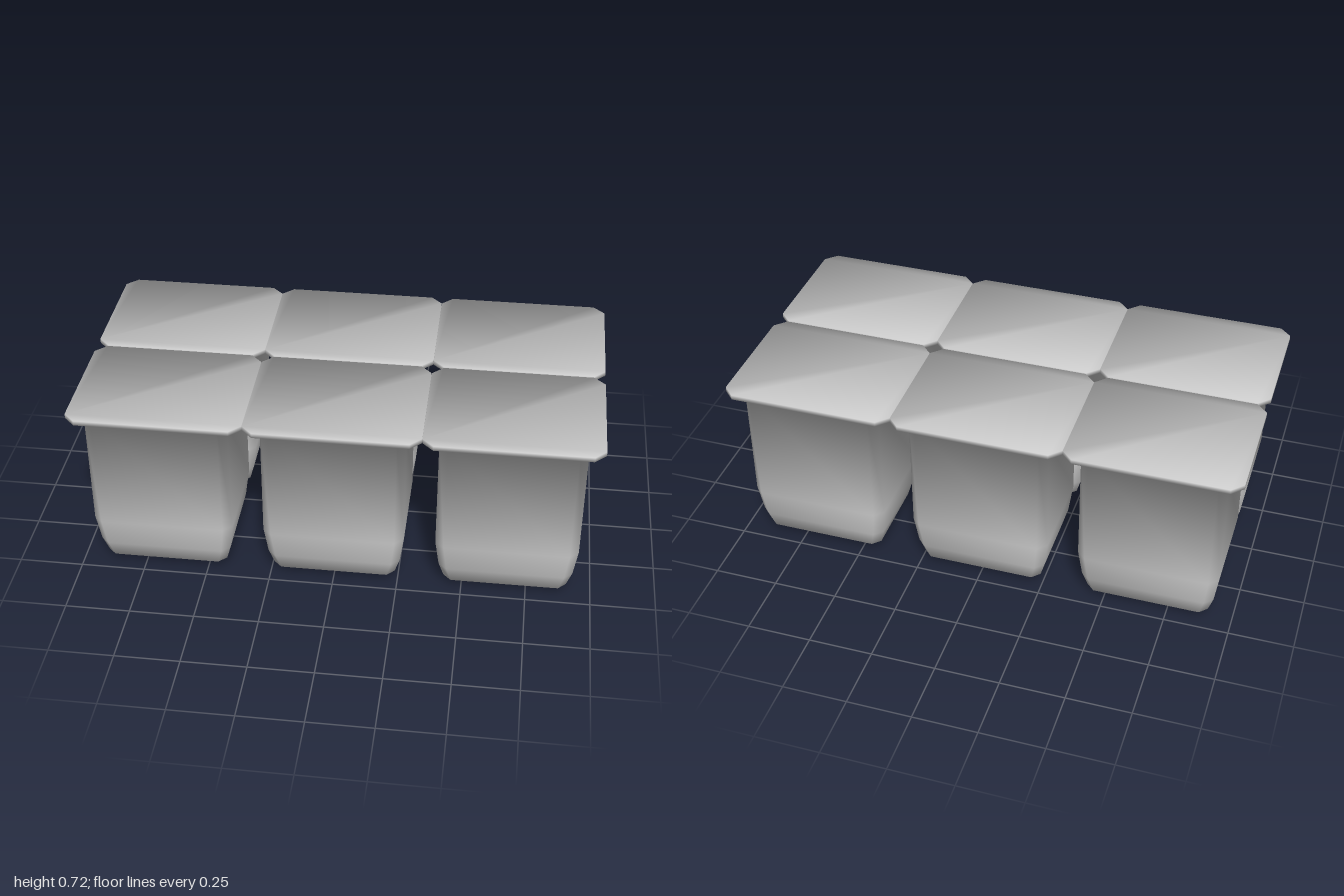
import * as THREE from 'three';

// Rectangle with clipped corners as [x, z] points
function outline(hx, hz, cut) {
  return [
    [-hx, hz - cut], [cut - hx, hz], [hx - cut, hz], [hx, hz - cut],
    [hx, cut - hz], [hx - cut, -hz], [cut - hx, -hz], [-hx, cut - hz],
  ];
}

// Smooth normals: each face counts by its corner angle, so small rim faces still matter
function angleWeightedNormals(points, index) {
  const normals = points.map(() => new THREE.Vector3());
  for (let i = 0; i < index.length; i += 3) {
    const tri = index.slice(i, i + 3);
    const face = new THREE.Vector3();
    new THREE.Triangle(...tri.map((k) => points[k])).getNormal(face);
    tri.forEach((k, j) => {
      const u = points[tri[(j + 1) % 3]].clone().sub(points[k]);
      const v = points[tri[(j + 2) % 3]].clone().sub(points[k]);
      normals[k].addScaledVector(face, u.angleTo(v));
    });
  }
  return normals.flatMap((n) => n.normalize().toArray());
}

// Closed solid through rings of [y, half width, half depth, corner cut], bottom to top
function loft(rings) {
  const n = 8, points = [], index = [];
  for (const [y, hx, hz, cut] of rings) {
    for (const [x, z] of outline(hx, hz, cut)) points.push(new THREE.Vector3(x, y, z));
  }
  const top = (rings.length - 1) * n;
  for (let r = 0; r < top; r += n) {
    for (let i = 0; i < n; i++) {
      const a = r + i, b = r + (i + 1) % n;
      index.push(a, b, a + n, b, b + n, a + n);
    }
  }
  for (let i = 1; i < n - 1; i++) {
    index.push(0, i + 1, i, top, top + i, top + i + 1);
  }
  const g = new THREE.BufferGeometry();
  g.setAttribute('position', new THREE.Float32BufferAttribute(points.flatMap((p) => p.toArray()), 3));
  g.setAttribute('normal', new THREE.Float32BufferAttribute(angleWeightedNormals(points, index), 3));
  g.setIndex(index);
  return g;
}

export function createModel() {
  const group = new THREE.Group();
  group.name = 'potSixPack';
  const material = new THREE.MeshStandardMaterial({ color: 0xcccccc });

  const potGeometry = loft([
    // cup, stepping out from a flat base to straight walls
    [0, 0.203, 0.15, 0.03],
    [0.03, 0.238, 0.185, 0.03],
    [0.1, 0.258, 0.205, 0.032],
    [0.215, 0.273, 0.22, 0.034],
    [0.698, 0.273, 0.22, 0.034],
    // lid overhanging the cup, shaded as one skin with it
    [0.698, 0.333, 0.265, 0.043],
    [0.717, 0.333, 0.265, 0.043],
  ]);

  // Two rows of three pots
  for (const z of [0.268, -0.268]) {
    for (const x of [-0.667, 0, 0.667]) {
      const pot = new THREE.Mesh(potGeometry, material);
      pot.name = 'pot';
      pot.position.set(x, 0, z);
      group.add(pot);
    }
  }
  return group;
}
